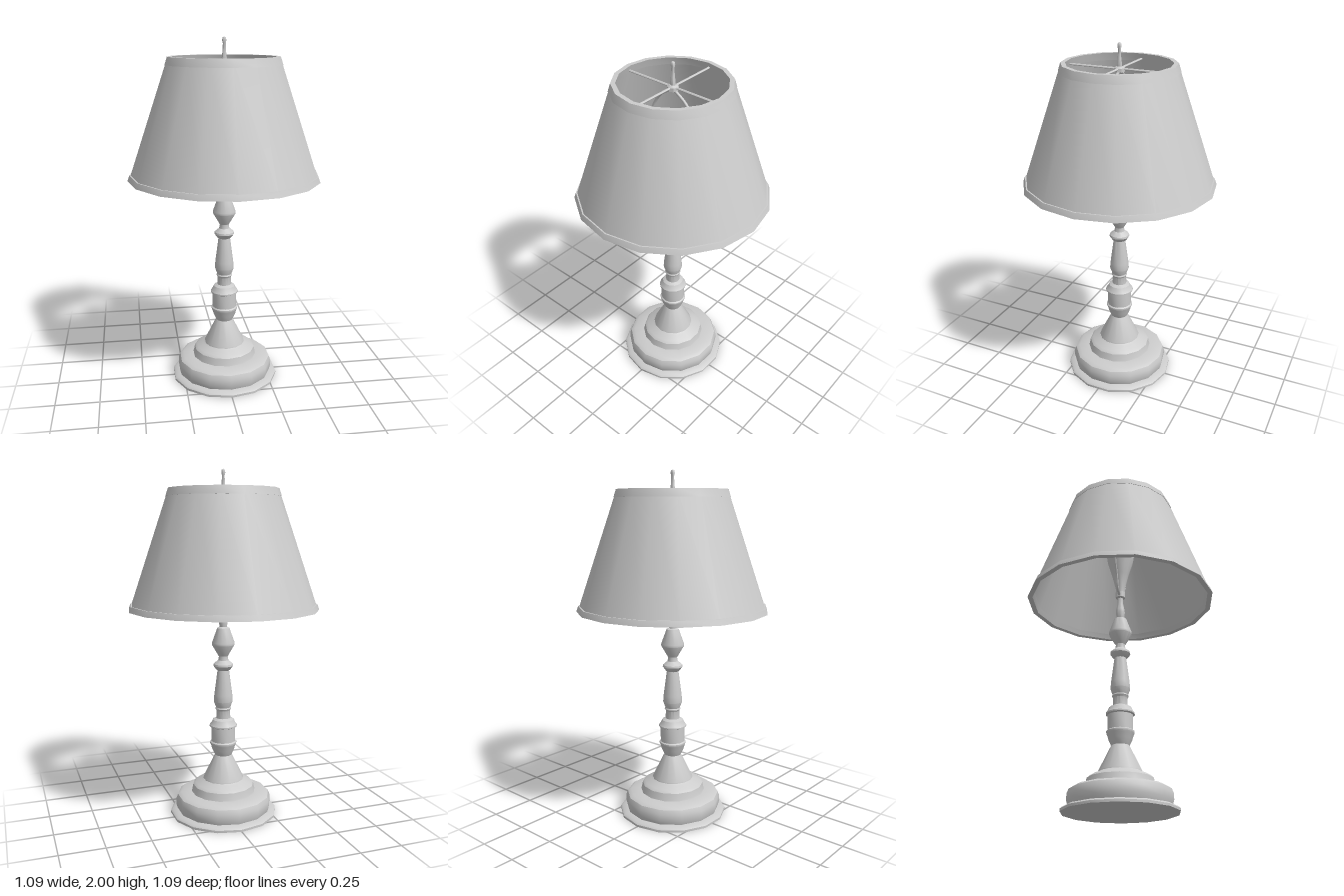
import * as THREE from 'three';
import { toCreasedNormals } from 'three/addons/utils/BufferGeometryUtils.js';

const material = new THREE.MeshStandardMaterial({ color: 0xcccccc });

export function createModel() {
  const lamp = new THREE.Group();
  lamp.name = 'tableLamp';

  function add(name, geometry, crease = 0.6) {
    const mesh = new THREE.Mesh(toCreasedNormals(geometry, crease), material);
    mesh.name = name;
    lamp.add(mesh);
    return mesh;
  }
  // Turned part from [radius, height] pairs, listed bottom to top
  function turned(name, profile, sides, crease) {
    const points = profile.map(([r, y]) => new THREE.Vector2(r, y));
    return add(name, new THREE.LatheGeometry(points, sides), crease);
  }

  // Stepped round foot with a flat bottom
  turned('base', [
    [0, 0], [0.315, 0], [0.315, 0.013], [0.305, 0.022], [0.275, 0.028],
    [0.283, 0.055], [0.282, 0.09], [0.272, 0.115], [0.25, 0.128], [0.19, 0.132],
    [0.187, 0.14], [0.18, 0.175], [0.165, 0.188], [0.13, 0.203], [0.12, 0.21], [0, 0.212],
  ], 14);

  // Conical lower stem and drum
  turned('lowerStem', [
    [0.12, 0.207], [0.118, 0.217], [0.05, 0.355], [0.066, 0.39], [0.073, 0.415],
    [0.078, 0.425], [0.078, 0.434], [0.071, 0.44], [0.071, 0.525], [0.081, 0.53],
    [0.081, 0.538], [0.072, 0.548], [0.062, 0.57], [0.042, 0.58],
  ], 14);

  // Baluster with collar
  turned('baluster', [
    [0.042, 0.575], [0.04, 0.625], [0.047, 0.637], [0.043, 0.645], [0.056, 0.68],
    [0.053, 0.72], [0.034, 0.865], [0.042, 0.87], [0.058, 0.892], [0.056, 0.903],
    [0.03, 0.925], [0.026, 0.945], [0.028, 0.96],
  ], 14);

  // Upper knob and slender neck
  turned('upperStem', [
    [0.028, 0.95], [0.035, 0.962], [0.066, 1.015], [0.066, 1.028], [0.04, 1.1],
    [0.036, 1.113], [0.021, 1.12], [0.027, 1.155], [0.025, 1.175], [0.016, 1.22],
    [0.016, 1.25], [0.028, 1.255], [0.028, 1.29], [0, 1.292],
  ], 14);

  // Bulb
  turned('bulb', [
    [0.025, 1.28], [0.028, 1.32], [0.05, 1.41], [0.077, 1.5], [0.085, 1.55],
    [0.078, 1.6], [0.055, 1.64], [0.025, 1.658], [0, 1.66],
  ], 14);

  // Harp wires, one each side, joined at the top
  for (const side of [1, -1]) {
    const path = new THREE.CatmullRomCurve3([
      [0.02, 1.265], [0.065, 1.29], [0.085, 1.35], [0.13, 1.45],
      [0.155, 1.56], [0.145, 1.68], [0.09, 1.79], [0, 1.855],
    ].map(([x, y]) => new THREE.Vector3(x * side, y, 0)));
    add(side > 0 ? 'leftHarp' : 'rightHarp', new THREE.TubeGeometry(path, 24, 0.008, 6), 1.2);
  }

  // Cloth shade: closed thin wall
  turned('shade', [
    [0.518, 1.228], [0.536, 1.228], [0.311, 1.885], [0.293, 1.885], [0.518, 1.228],
  ], 16, 0.45);

  // Trim bands around both rims of the shade
  turned('bottomTrim', [
    [0.517, 1.222], [0.546, 1.222], [0.535, 1.253], [0.506, 1.253], [0.517, 1.222],
  ], 16, 0.45);
  turned('topTrim', [
    [0.3, 1.852], [0.325, 1.852], [0.311, 1.895], [0.286, 1.895], [0.3, 1.852],
  ], 16, 0.45);

  // Four spider arms holding the shade
  for (let i = 0; i < 4; i++) {
    const arm = new THREE.CylinderGeometry(0.006, 0.006, 0.295, 6);
    arm.rotateZ(Math.PI / 2).translate(0.1475, 1.864, 0).rotateY(i * Math.PI / 2);
    add('shadeArm', arm, 1.2);
  }

  // Hub nut and finial
  turned('hub', [[0, 1.848], [0.03, 1.848], [0.03, 1.868], [0.018, 1.876], [0, 1.876]], 8);
  turned('finial', [
    [0.013, 1.87], [0.014, 1.89], [0.01, 1.92], [0.008, 1.965],
    [0.012, 1.98], [0.009, 1.995], [0, 2],
  ], 8, 0.9);

  return lamp;
}
